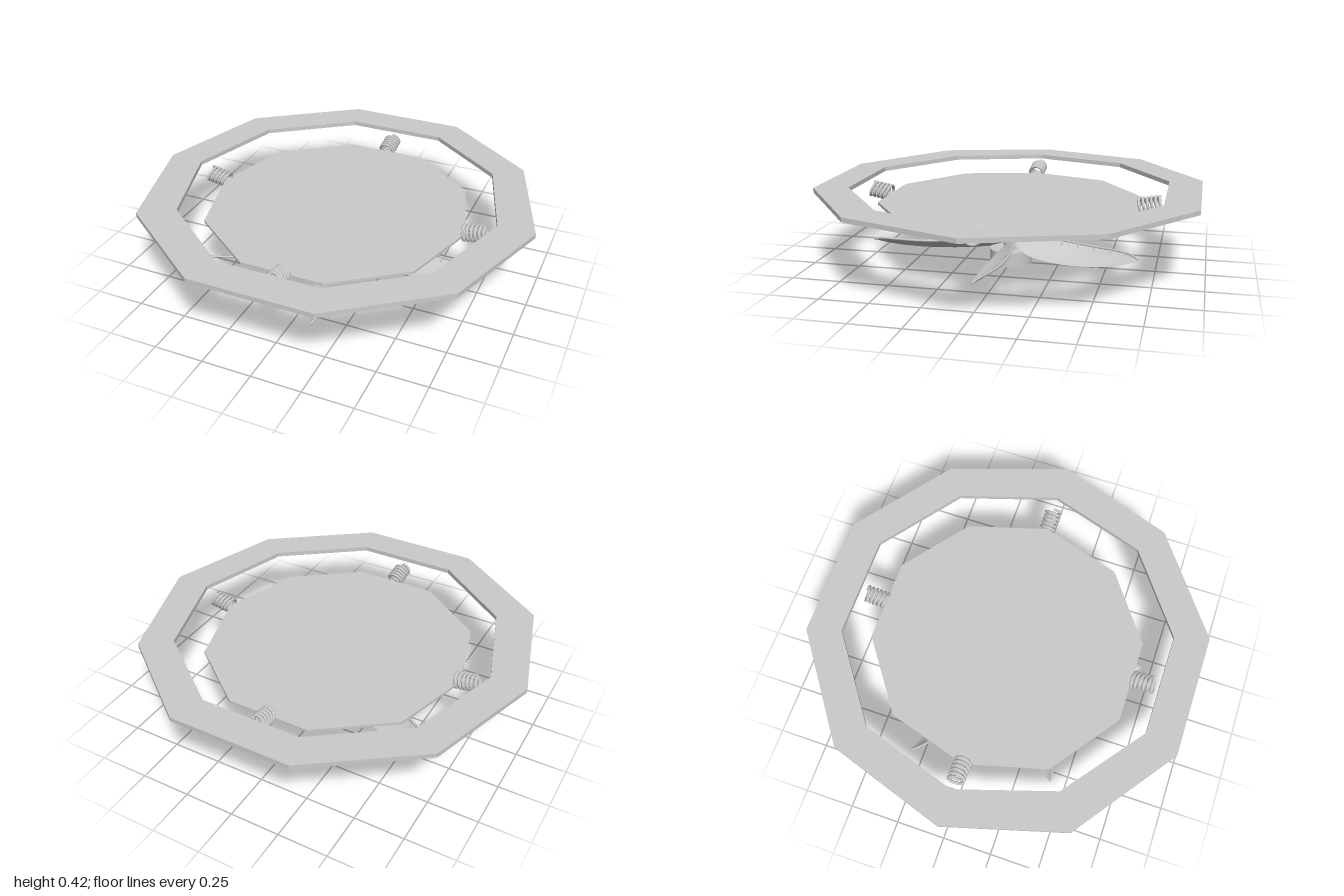
import * as THREE from 'three';

const V = (x, y, z) => new THREE.Vector3(x, y, z);
const grey = new THREE.MeshStandardMaterial({ color: 0xcccccc });
const greyFlat = new THREE.MeshStandardMaterial({ color: 0xcccccc, flatShading: true });
const greyThin = new THREE.MeshStandardMaterial({ color: 0xcccccc, side: THREE.DoubleSide });

function add(parent, name, geometry, material = grey) {
  const mesh = new THREE.Mesh(geometry, material);
  mesh.name = name;
  parent.add(mesh);
  return mesh;
}

// Slightly irregular ten-sided outlines, as [x, z] corners
const outerRing = [[1, 0], [0.8, -0.595], [0.32, -0.96], [-0.3, -0.96], [-0.81, -0.595],
  [-1, 0], [-0.83, 0.59], [-0.32, 0.96], [0.3, 0.96], [0.8, 0.59]];
const innerRing = [[0.815, 0], [0.66, -0.49], [0.265, -0.79], [-0.25, -0.79], [-0.665, -0.49],
  [-0.82, 0], [-0.665, 0.485], [-0.265, 0.79], [0.25, 0.79], [0.66, 0.485]];
const bedOutline = [[0.665, 0], [0.545, -0.405], [0.215, -0.66], [-0.205, -0.66], [-0.555, -0.405],
  [-0.675, 0], [-0.565, 0.405], [-0.22, 0.655], [0.2, 0.655], [0.54, 0.405]];

// Flat slab lying in the xz plane between y0 and y1
function slab(outline, hole, y0, y1) {
  const toPoints = (list) => list.map(([x, z]) => new THREE.Vector2(x, -z));
  const shape = new THREE.Shape(toPoints(outline));
  if (hole) shape.holes.push(new THREE.Path(toPoints(hole)));
  const g = new THREE.ExtrudeGeometry(shape, { depth: y1 - y0, bevelEnabled: false });
  return g.rotateX(-Math.PI / 2).translate(0, y0, 0);
}

// Coil rising outward from the bed to the ring, along +x
function springGeometry() {
  const start = V(0.655, 0.338, 0), end = V(0.768, 0.358, 0);
  const up = V(-0.3, 0.954, 0), side = V(0, 0, 1);
  const turns = 5.5, points = [];
  for (let i = 0; i <= turns * 12; i++) {
    const a = (i / 12) * Math.PI * 2 - Math.PI / 2;
    points.push(start.clone().lerp(end, i / (turns * 12))
      .addScaledVector(up, Math.sin(a) * 0.038)
      .addScaledVector(side, Math.cos(a) * 0.038));
  }
  return new THREE.TubeGeometry(new THREE.CatmullRomCurve3(points), 160, 0.0075, 8);
}

// Blade edges along +x: the high edge carries the rim, the low edge is the pitched side
const highEdge = new THREE.CatmullRomCurve3([V(0.03, 0.16, -0.02), V(0.15, 0.15, -0.045),
  V(0.3, 0.137, -0.06), V(0.45, 0.132, -0.055), V(0.6, 0.136, -0.03), V(0.68, 0.133, 0), V(0.715, 0.122, 0.02)]);
const lowEdge = new THREE.CatmullRomCurve3([V(0.03, 0.1, 0.025), V(0.13, 0.068, 0.06),
  V(0.27, 0.056, 0.075), V(0.42, 0.06, 0.075), V(0.57, 0.078, 0.06), V(0.66, 0.1, 0.04), V(0.715, 0.12, 0.022)]);

// Point on the cambered blade: t along its length, s from high to low edge
function bladePoint(t, s) {
  const p = highEdge.getPoint(t).lerp(lowEdge.getPoint(t), s);
  p.y -= 0.012 * Math.sin(Math.PI * s) * Math.sin(Math.PI * t);
  return p;
}

function bladeGeometry() {
  const nt = 30, ns = 8, pos = [], index = [];
  for (let i = 0; i <= nt; i++)
    for (let j = 0; j <= ns; j++) pos.push(...bladePoint(i / nt, j / ns).toArray());
  for (let i = 0; i < nt; i++)
    for (let j = 0; j < ns; j++) {
      const a = i * (ns + 1) + j, b = a + ns + 1;
      index.push(a, a + 1, b, b, a + 1, b + 1);
    }
  const g = new THREE.BufferGeometry();
  g.setAttribute('position', new THREE.Float32BufferAttribute(pos, 3));
  g.setIndex(index);
  g.computeVertexNormals();
  return g;
}

export function createModel() {
  const model = new THREE.Group();
  model.name = 'springBedWithFan';

  // Frame and bed
  add(model, 'outerFrame', slab(outerRing, innerRing, 0.393, 0.416), greyFlat);
  add(model, 'bed', slab(bedOutline, null, 0.321, 0.335), greyFlat);

  // Four springs
  const spring = springGeometry();
  for (let i = 0; i < 4; i++) add(model, 'spring', spring).rotation.y = (i * Math.PI) / 2;

  // Fan hub
  const fan = new THREE.Group();
  fan.name = 'fan';
  model.add(fan);
  add(fan, 'hub', new THREE.CylinderGeometry(0.11, 0.11, 0.078, 40).translate(0, 0.039, 0));
  add(fan, 'shaft', new THREE.CylinderGeometry(0.04, 0.04, 0.1, 24).translate(0, 0.12, 0));
  add(fan, 'topDisc', new THREE.CylinderGeometry(0.15, 0.15, 0.017, 40).translate(0, 0.177, 0));

  // Five blades, each with a rim along its high edge and small spurs
  const blade = bladeGeometry();
  const rim = new THREE.TubeGeometry(highEdge, 48, 0.006, 6);
  for (const degrees of [0, 74, 157, 218, 284]) {
    const arm = new THREE.Group();
    arm.name = 'fanBlade';
    arm.rotation.y = THREE.MathUtils.degToRad(degrees);
    fan.add(arm);
    add(arm, 'bladeSurface', blade, greyThin);
    add(arm, 'bladeRim', rim);
    for (let k = 0; k < 7; k++) {
      const t = 0.3 + k * 0.1;
      const root = bladePoint(t, 0), tip = bladePoint(t, 0.22).add(V(0.012, 0.004, 0));
      add(arm, 'rimSpur', new THREE.TubeGeometry(new THREE.LineCurve3(root, tip), 1, 0.004, 5));
    }
  }
  return model;
}
